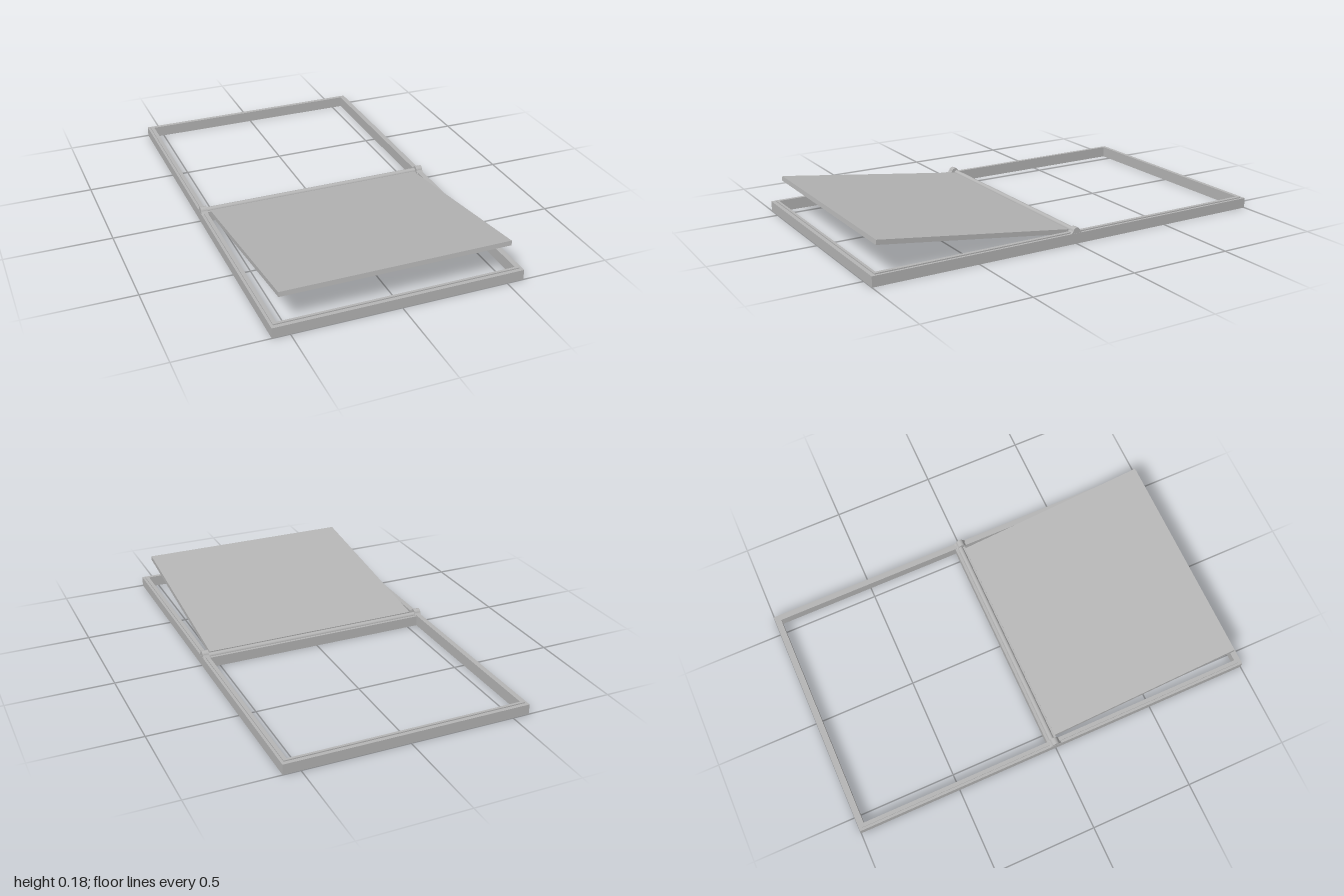
import * as THREE from 'three';

const grey = new THREE.MeshStandardMaterial({ color: 0xb6b6b6 });
grey.name = 'grey aluminium';

function add(parent, name, geometry, x = 0, y = 0, z = 0) {
  const mesh = new THREE.Mesh(geometry, grey);
  mesh.name = name;
  mesh.position.set(x, y, z);
  parent.add(mesh);
  return mesh;
}

const box = (w, h, d) => new THREE.BoxGeometry(w, h, d);

// Flat rectangular ring lying in xz, rising from y0 to y1
function ring(parent, name, hx, hz, ix, iz, y0, y1) {
  const rect = (P, a, b) => {
    const p = new P();
    p.moveTo(-a, -b);
    p.lineTo(a, -b);
    p.lineTo(a, b);
    p.lineTo(-a, b);
    p.closePath();
    return p;
  };
  const shape = rect(THREE.Shape, hx, hz);
  shape.holes.push(rect(THREE.Path, ix, iz));
  const geometry = new THREE.ExtrudeGeometry(shape, { depth: y1 - y0, bevelEnabled: false });
  geometry.rotateX(-Math.PI / 2);
  return add(parent, name, geometry, 0, y0, 0);
}

export function createModel() {
  const model = new THREE.Group();
  model.name = 'roofWindow';

  // Outer frame with a thin raised lip along its inner edge
  ring(model, 'outerFrame', 0.58, 1, 0.55, 0.97, 0, 0.049);
  ring(model, 'frameLip', 0.568, 0.982, 0.55, 0.97, 0.049, 0.054);

  // Middle rail with a rounded ridge
  add(model, 'middleRail', box(1.1, 0.05, 0.05), 0, 0.025, -0.009);
  const ridge = new THREE.CylinderGeometry(0.013, 0.013, 1.1, 20);
  ridge.rotateZ(Math.PI / 2);
  add(model, 'railRidge', ridge, 0, 0.05, -0.008);

  // Rounded hinge blocks on both side rails
  for (const side of [-1, 1]) {
    const profile = new THREE.Shape();
    profile.moveTo(-0.03, 0);
    profile.lineTo(0.03, 0);
    profile.quadraticCurveTo(0.022, 0.006, 0.018, 0.013);
    profile.absarc(0, 0.009, 0.018, 0.22, Math.PI - 0.22, false);
    profile.quadraticCurveTo(-0.022, 0.006, -0.03, 0);
    const hinge = new THREE.ExtrudeGeometry(profile, { depth: 0.032, bevelEnabled: false, curveSegments: 10 });
    hinge.rotateY(Math.PI / 2);
    hinge.translate(-0.016, 0, 0);
    add(model, 'hinge', hinge, side * 0.563, 0.048, 0);
  }

  // Sash tilted open about the middle rail
  const sash = new THREE.Group();
  sash.name = 'tiltedSash';
  sash.position.set(0, 0.044, 0);
  sash.rotation.x = -0.132;
  model.add(sash);
  ring(sash, 'sashFrame', 0.533, 0.474, 0.515, 0.456, -0.011, 0.011).position.z = 0.489;
  add(sash, 'sashPanel', box(1.03, 0.016, 0.912), 0, 0.003, 0.489);

  return model;
}
